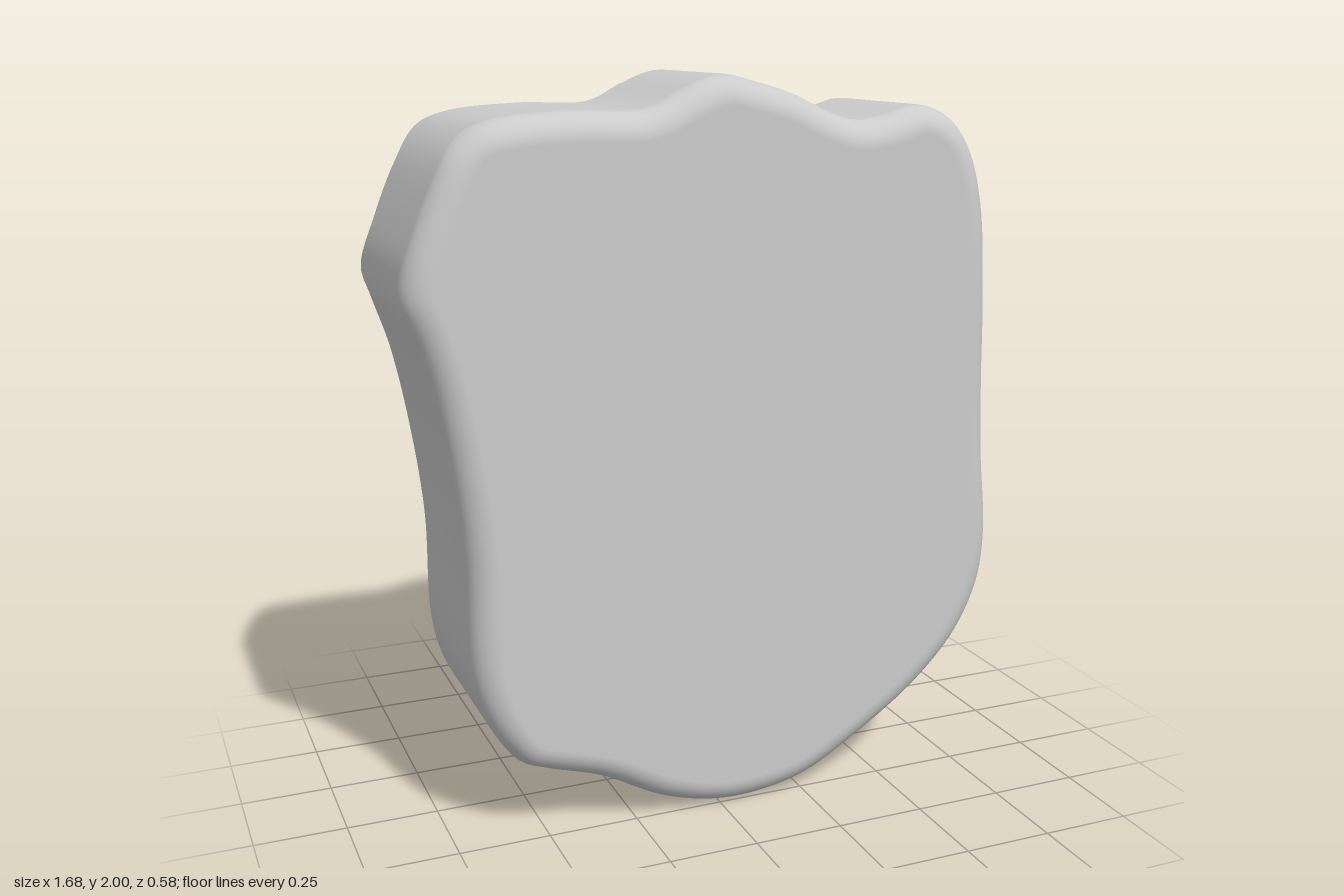
import * as THREE from 'three';

// Outline of the slab, counter-clockwise from the bottom
const OUTLINE = [
  [0.07, 0], [0.25, 0.03], [0.42, 0.12], [0.62, 0.26], [0.75, 0.4], [0.82, 0.55],
  [0.837, 0.7], [0.815, 0.95], [0.805, 1.15], [0.797, 1.4], [0.775, 1.65], [0.73, 1.8],
  [0.66, 1.885], [0.57, 1.915], [0.47, 1.89], [0.38, 1.88], [0.3, 1.905], [0.2, 1.95],
  [0.1, 1.98], [0, 2], [-0.1, 1.967], [-0.2, 1.92], [-0.4, 1.918], [-0.6, 1.9],
  [-0.68, 1.865], [-0.74, 1.77], [-0.8, 1.63], [-0.842, 1.5], [-0.82, 1.42],
  [-0.775, 1.28], [-0.73, 1.05], [-0.7, 0.8], [-0.695, 0.5], [-0.67, 0.38],
  [-0.62, 0.28], [-0.57, 0.22], [-0.5, 0.19], [-0.35, 0.14], [-0.18, 0.05], [-0.05, 0.01],
];
const HALF_DEPTH = 0.288, RADIUS = 0.075, COUNT = 240, STEPS = 8;

function createSlabGeometry() {
  const curve = new THREE.CatmullRomCurve3(
    OUTLINE.map(([x, y]) => new THREE.Vector3(x, y, 0)), true);
  const points = curve.getSpacedPoints(COUNT).slice(0, COUNT);

  // Outward directions, taken over a few neighbours so the inset stays clean
  const outward = points.map((_, i) => {
    const a = points[(i + COUNT - 4) % COUNT], b = points[(i + 4) % COUNT];
    return new THREE.Vector2(b.y - a.y, a.x - b.x).normalize();
  });

  // Rings from back to front: rounded edge, straight wall, rounded edge
  const profile = [];
  for (const side of [-1, 1]) {
    for (let s = 0; s <= STEPS; s++) {
      const t = (side < 0 ? 1 - s / STEPS : s / STEPS) * Math.PI / 2;
      profile.push({
        inset: RADIUS * (1 - Math.cos(t)),
        z: side * (HALF_DEPTH - RADIUS + RADIUS * Math.sin(t)),
        c: Math.cos(t), n: side * Math.sin(t),
      });
    }
  }
  const position = [], normal = [], index = [];
  for (const { inset, z, c, n } of profile) {
    points.forEach((p, i) => {
      const o = outward[i];
      position.push(p.x - o.x * inset, p.y - o.y * inset, z);
      normal.push(o.x * c, o.y * c, n);
    });
  }
  for (let r = 0; r < profile.length - 1; r++) {
    for (let i = 0; i < COUNT; i++) {
      const j = (i + 1) % COUNT;
      const a = r * COUNT + i, b = r * COUNT + j, d = a + COUNT, e = b + COUNT;
      index.push(a, b, e, a, e, d);
    }
  }

  // Flat front and back faces close the end rings
  const rim = points.map((p, i) => new THREE.Vector2(
    p.x - outward[i].x * RADIUS, p.y - outward[i].y * RADIUS));
  const last = (profile.length - 1) * COUNT;
  for (const [a, b, c] of THREE.ShapeUtils.triangulateShape(rim, [])) {
    index.push(last + a, last + b, last + c, c, b, a);
  }

  const geometry = new THREE.BufferGeometry();
  geometry.setAttribute('position', new THREE.Float32BufferAttribute(position, 3));
  geometry.setAttribute('normal', new THREE.Float32BufferAttribute(normal, 3));
  geometry.setIndex(index);
  return geometry;
}

export function createModel() {
  const group = new THREE.Group();
  const slab = new THREE.Mesh(createSlabGeometry(),
    new THREE.MeshStandardMaterial({ color: 0xcccccc }));
  slab.name = 'stoneSlab';
  group.add(slab);
  return group;
}
